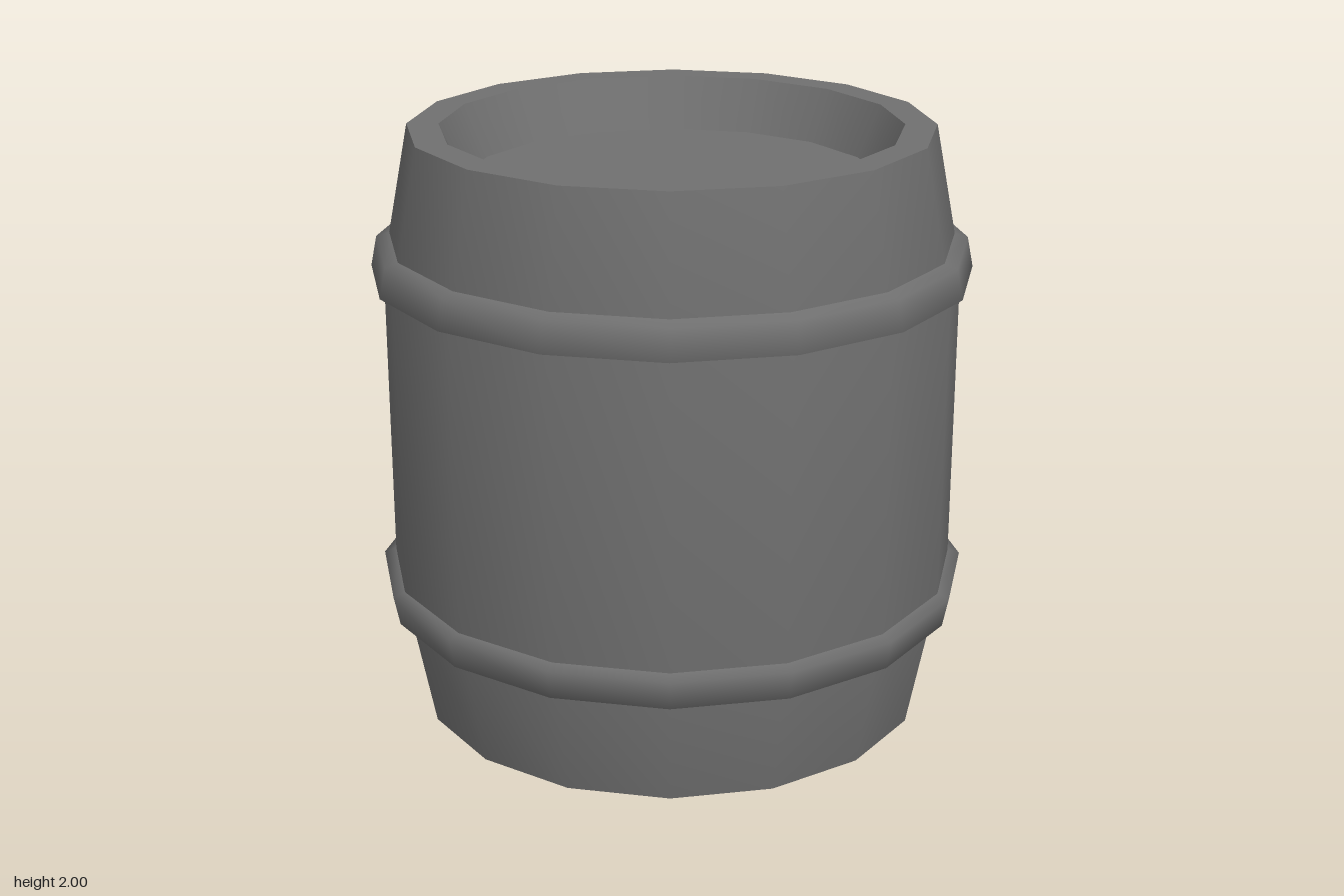
import * as THREE from 'three';

const SIDES = 16;
const HEIGHT = 2;

export function createModel() {
  const barrel = new THREE.Group();
  barrel.name = 'barrel';
  const material = new THREE.MeshStandardMaterial({ color: 0x707070 });

  // Profiles run up the outside and then inward over the top
  const turn = (name, profile) => {
    const points = profile.map(([r, y]) => new THREE.Vector2(r, y));
    const mesh = new THREE.Mesh(new THREE.LatheGeometry(points, SIDES), material);
    mesh.name = name;
    barrel.add(mesh);
  };
  const flip = (profile) => profile.map(([r, y]) => [r, HEIGHT - y]).reverse();

  // Staved wall: straight middle, tapering towards both ends
  turn('staves', [[0.865, 0], [0.96, 0.49], [0.96, 1.51], [0.865, HEIGHT]]);

  // Parts that repeat at both ends, split where the edges are sharp
  const ends = {
    // Rounded hoop, leaning with the taper
    Hoop: [[0.95, 1.503], [1.0, 1.52], [0.98, 1.62], [0.925, 1.637]],
    // Flat end of the staves
    Rim: [[0.865, HEIGHT], [0.76, HEIGHT]],
    // Sloping wall of the recess
    RecessWall: [[0.76, HEIGHT], [0.68, 1.825]],
    // Sunken flat head
    Head: [[0.68, 1.825], [0, 1.825]],
  };
  for (const [part, profile] of Object.entries(ends)) {
    turn('top' + part, profile);
    turn('bottom' + part, flip(profile));
  }
  return barrel;
}
